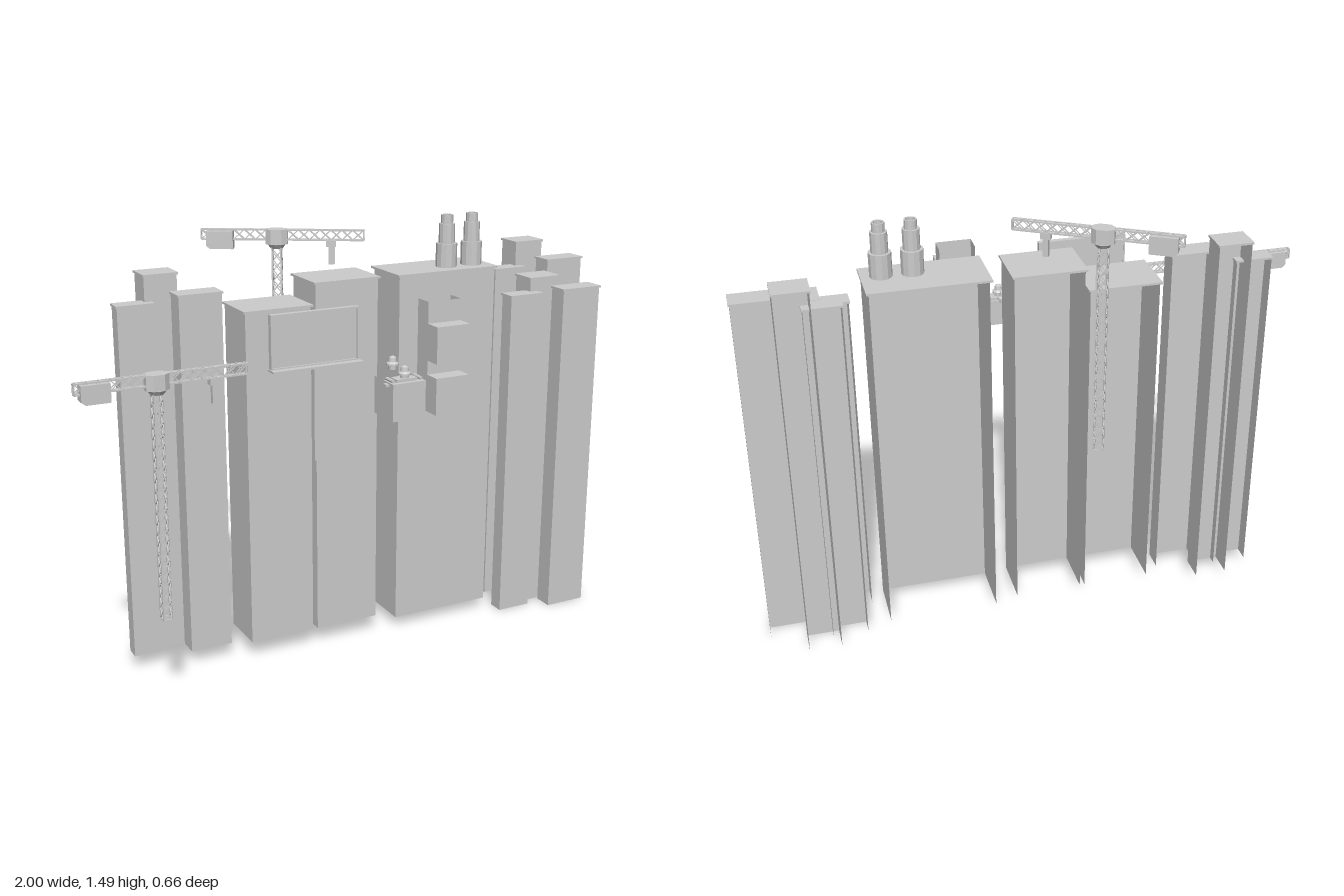
import * as THREE from 'three';
import { mergeGeometries } from 'three/addons/utils/BufferGeometryUtils.js';

const mat = new THREE.MeshStandardMaterial({ color: 0xcccccc, flatShading: true });
const thin = new THREE.MeshStandardMaterial({ color: 0xcccccc, flatShading: true, side: THREE.DoubleSide });

function add(parent, name, geo, x = 0, y = 0, z = 0, material = mat) {
  const m = new THREE.Mesh(geo, material);
  m.name = name;
  m.position.set(x, y, z);
  parent.add(m);
  return m;
}

// Box given by its limits
function slab(parent, name, x0, x1, y0, y1, z0, z1) {
  return add(parent, name, new THREE.BoxGeometry(x1 - x0, y1 - y0, z1 - z0),
    (x0 + x1) / 2, (y0 + y1) / 2, (z0 + z1) / 2);
}

// Thin front and two side walls, open at the back and bottom
function walls(parent, name, x0, x1, y0, y1, z0, z1) {
  const w = x1 - x0, h = y1 - y0, d = z1 - z0, y = (y0 + y1) / 2, z = (z0 + z1) / 2;
  const front = new THREE.PlaneGeometry(w, h).translate((x0 + x1) / 2, y, z1);
  const left = new THREE.PlaneGeometry(d, h).rotateY(Math.PI / 2).translate(x1, y, z);
  const right = new THREE.PlaneGeometry(d, h).rotateY(-Math.PI / 2).translate(x0, y, z);
  return add(parent, name, mergeGeometries([front, left, right]), 0, 0, 0, thin);
}

// Hollow facade with an overhanging roof; the limits are those of the roof
function tower(parent, name, [x0, x1, y0, y1, z0, z1], over) {
  const g = new THREE.Group();
  g.name = name;
  walls(g, 'walls', x0 + over, x1 - over, y0, y1 - 0.007, z0 + over, z1 - over);
  slab(g, 'roof', x0, x1, y1 - 0.007, y1, z0, z1);
  parent.add(g);
}

// Square bar between two points
function strut(a, b, t) {
  const d = b.clone().sub(a);
  const q = new THREE.Quaternion().setFromUnitVectors(new THREE.Vector3(0, 1, 0), d.clone().normalize());
  return new THREE.BoxGeometry(t, d.length(), t)
    .applyQuaternion(q)
    .translate((a.x + b.x) / 2, (a.y + b.y) / 2, (a.z + b.z) / 2);
}

// Lattice girder along +x, with crossed braces on all four faces
function truss(len, h, d, n) {
  const parts = [];
  const corners = [[-1, -1], [1, -1], [1, 1], [-1, 1]];
  const p = (x, c) => new THREE.Vector3(x, c[0] * (h / 2 - 0.002), c[1] * (d / 2 - 0.002));
  corners.forEach((c, i) => {
    const e = corners[(i + 1) % 4];
    parts.push(strut(p(0, c), p(len, c), 0.005));
    for (const x of [0, len]) parts.push(strut(p(x, c), p(x, e), 0.004));
    for (let k = 0; k < n; k++) {
      const xa = len * k / n, xb = len * (k + 1) / n;
      parts.push(strut(p(xa, c), p(xb, e), 0.003), strut(p(xa, e), p(xb, c), 0.003));
    }
  });
  return mergeGeometries(parts);
}

// Tower crane with its mast axis at the origin and jib centre at y = 0
function crane() {
  const g = new THREE.Group();
  add(g, 'mast', truss(0.765, 0.034, 0.034, 22).rotateZ(-Math.PI / 2), 0, -0.02, 0);
  add(g, 'jib', truss(0.548, 0.037, 0.018, 15), -0.255, 0, 0);
  // Counterweight hanging at the short end
  const cw = new THREE.Shape([[-0.238, 0.012], [-0.147, 0.012], [-0.147, -0.048], [-0.225, -0.048], [-0.238, -0.038]]
    .map(([x, y]) => new THREE.Vector2(x, y)));
  add(g, 'counterweight', new THREE.ExtrudeGeometry(cw, { depth: 0.038, bevelEnabled: false }), 0, 0, -0.019);
  // Slewing cabin
  const cab = new THREE.Shape([[-0.018, -0.027], [0.018, -0.027], [0.037, -0.012], [0.037, 0.012],
    [0.018, 0.027], [-0.018, 0.027], [-0.037, 0.012], [-0.037, -0.012]].map(([x, z]) => new THREE.Vector2(x, z)));
  add(g, 'cabin', new THREE.ExtrudeGeometry(cab, { depth: 0.05, bevelEnabled: false }).rotateX(-Math.PI / 2), 0, -0.031, 0);
  add(g, 'slewingRing', new THREE.CylinderGeometry(0.032, 0.022, 0.014, 10), 0, -0.038, 0);
  // Trolley and hook block
  slab(g, 'trolley', 0.167, 0.2, -0.038, -0.016, -0.012, 0.012);
  slab(g, 'hookBlock', 0.175, 0.194, -0.098, -0.038, -0.008, 0.008);
  return g;
}

// Small rooftop water tank standing on legs
function tank(parent, x, y, z) {
  const pts = [[0, 0], [0.014, 0], [0.014, 0.012], [0.021, 0.014], [0.021, 0.02], [0.014, 0.026], [0.012, 0.04], [0, 0.046]];
  add(parent, 'waterTank', new THREE.LatheGeometry(pts.map(([r, h]) => new THREE.Vector2(r, h)), 12), x, y, z);
}

export function createModel() {
  const root = new THREE.Group();
  root.name = 'cityBlock';

  // Slim towers, a cluster of three repeated on both sides
  const trio = [[-0.765, -0.635, 1.272, -0.155, -0.095], [-0.665, -0.545, 1.36, -0.215, -0.118], [-0.578, -0.422, 1.3, -0.12, -0.04]];
  for (const [dx, base] of [[0, 0.05], [1.418, 0]])
    for (const [x0, x1, top, z0, z1] of trio)
      tower(root, 'slimTower', [x0 + dx, x1 + dx, base, top, z0, z1], 0.004);
  tower(root, 'slimTower', [0.615, 0.75, 0, 1.207, 0.005, 0.07], 0.004);
  tower(root, 'slimTower', [0.803, 0.965, 0, 1.222, 0.04, 0.118], 0.004);
  tower(root, 'slimTower', [0.715, 0.842, 0, 1.257, -0.06, 0.038], 0.004);

  // Wide central buildings
  tower(root, 'wideBuilding', [-0.375, -0.126, 0.06, 1.237, -0.175, 0.012], 0.007);
  tower(root, 'wideBuilding', [-0.122, 0.125, 0.06, 1.31, -0.175, 0.012], 0.007);
  tower(root, 'wideBuilding', [0.187, 0.585, 0.04, 1.31, -0.175, 0.025], 0.009);

  // Stepped chimneys with hollow mouths
  const steps = [[0.037, 1.308], [0.037, 1.392], [0.028, 1.392], [0.028, 1.46], [0.021, 1.46], [0.021, 1.49], [0.016, 1.49], [0.016, 1.46], [0, 1.46]];
  for (const x of [0.418, 0.519])
    add(root, 'chimney', new THREE.LatheGeometry(steps.map(([r, y]) => new THREE.Vector2(r, y)), 12), x, 0, -0.05, thin);

  // Cranes
  const frontCrane = crane();
  frontCrane.name = 'frontCrane';
  frontCrane.position.set(-0.745, 1.108, 0.212);
  const backCrane = crane();
  backCrane.name = 'backCrane';
  backCrane.position.set(-0.16, 1.441, -0.2);
  backCrane.rotation.y = -Math.PI / 6;
  root.add(frontCrane, backCrane);

  // Billboard with rim, ledge and post
  const board = new THREE.Group();
  board.name = 'billboard';
  slab(board, 'panel', -0.362, -0.057, 1.087, 1.26, 0.184, 0.194);
  for (const x of [-0.364, -0.061]) slab(board, 'sideRim', x, x + 0.006, 1.087, 1.262, 0.182, 0.201);
  for (const y of [1.085, 1.256]) slab(board, 'rim', -0.364, -0.055, y, y + 0.006, 0.182, 0.201);
  slab(board, 'ledge', -0.368, -0.05, 1.08, 1.087, 0.182, 0.226);
  slab(board, 'post', -0.22, -0.2, 0.77, 1.082, 0.19, 0.21);
  root.add(board);

  // Stacked house: recessed core with two projecting bays
  const house = new THREE.Group();
  house.name = 'stackedHouse';
  walls(house, 'core', 0.163, 0.285, 0.9, 1.267, 0.2, 0.266);
  for (const [y0, y1] of [[0.9, 1.025], [1.072, 1.195]]) {
    walls(house, 'bay', 0.163, 0.285, y0, y1, 0.266, 0.326);
    slab(house, 'bayTop', 0.163, 0.285, y1 - 0.003, y1, 0.264, 0.326);
    slab(house, 'bayBottom', 0.163, 0.285, y0, y0 + 0.003, 0.264, 0.326);
  }
  root.add(house);

  // Low house with rooftop tanks and pipes
  const low = new THREE.Group();
  low.name = 'lowHouse';
  walls(low, 'walls', 0.003, 0.123, 0.9, 1.025, 0.2, 0.326);
  slab(low, 'roof', 0.003, 0.123, 1.02, 1.025, 0.262, 0.326);
  slab(low, 'roofPlinth', 0.025, 0.1, 1.025, 1.034, 0.268, 0.31);
  for (const x of [0.012, 0.113])
    add(low, 'pipe', new THREE.CylinderGeometry(0.006, 0.006, 0.045, 8).rotateX(Math.PI / 2), x, 1.031, 0.29);
  slab(low, 'bracket', -0.01, 0.006, 1.012, 1.02, 0.28, 0.3);
  tank(low, 0.063, 1.03, 0.292);
  tank(low, 0.064, 1.043, 0.21);
  root.add(low);

  return root;
}
